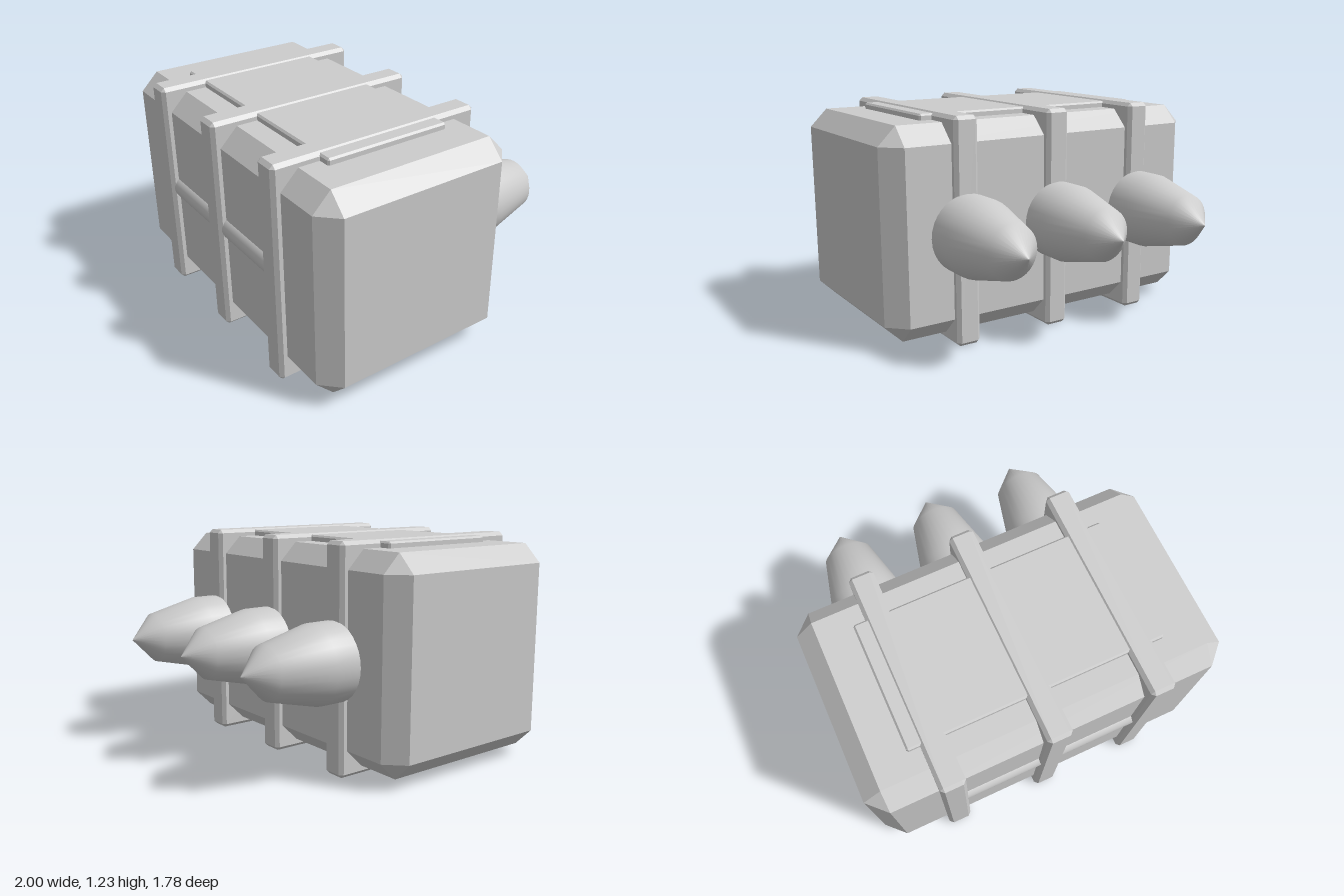
import * as THREE from 'three';
import { ConvexGeometry } from 'three/addons/geometries/ConvexGeometry.js';

const lightGrey = new THREE.MeshStandardMaterial({ color: 0xcccccc });
lightGrey.name = 'light grey';

// Box between two corners with every edge cut by a flat bevel
function bevelBox(min, max, bevel) {
  const points = [];
  for (let corner = 0; corner < 8; corner++) {
    for (let axis = 0; axis < 3; axis++) {
      const p = [0, 1, 2].map((i) => {
        const inset = i === axis ? 0 : bevel;
        return corner & (1 << i) ? max[i] - inset : min[i] + inset;
      });
      points.push(new THREE.Vector3(...p));
    }
  }
  return new ConvexGeometry(points);
}

export function createModel() {
  const model = new THREE.Group();
  model.name = 'strappedCrate';

  function add(parent, name, geometry) {
    const mesh = new THREE.Mesh(geometry, lightGrey);
    mesh.name = name;
    parent.add(mesh);
    return mesh;
  }

  // Main crate and its raised lid panel
  add(model, 'body', bevelBox([-1, 0.048, -0.295], [1, 1.188, 0.848], 0.1));
  add(model, 'topPanel', bevelBox([-0.71, 1.15, -0.083], [0.71, 1.222, 0.63], 0.01));

  // Handle bar running between the straps
  const bar = new THREE.CylinderGeometry(0.072, 0.072, 1.04, 32);
  bar.rotateZ(Math.PI / 2);
  add(model, 'frontBar', bar).position.set(0, 0.617, 0.804);

  // Pointed nozzle profile: radius, distance from the base
  const profile = [[0.212, 0], [0.212, 0.14], [0.142, 0.425], [0, 0.565]]
    .map(([r, d]) => new THREE.Vector2(r, d));
  const shell = new THREE.LatheGeometry(profile, 32);
  shell.rotateX(-Math.PI / 2);
  const cap = new THREE.CircleGeometry(0.212, 32);

  // Three straps, each with a nozzle behind it
  ['right', 'middle', 'left'].forEach((side, i) => {
    const x = (i - 1) * 0.572;
    add(model, side + 'Strap',
      bevelBox([x - 0.069, 0, -0.335], [x + 0.069, 1.23, 0.89], 0.02));

    const nozzle = new THREE.Group();
    nozzle.name = side + 'Nozzle';
    nozzle.position.set(x, 0.617, -0.33);
    add(nozzle, 'nozzleShell', shell);
    add(nozzle, 'nozzleBase', cap);
    model.add(nozzle);
  });

  return model;
}
